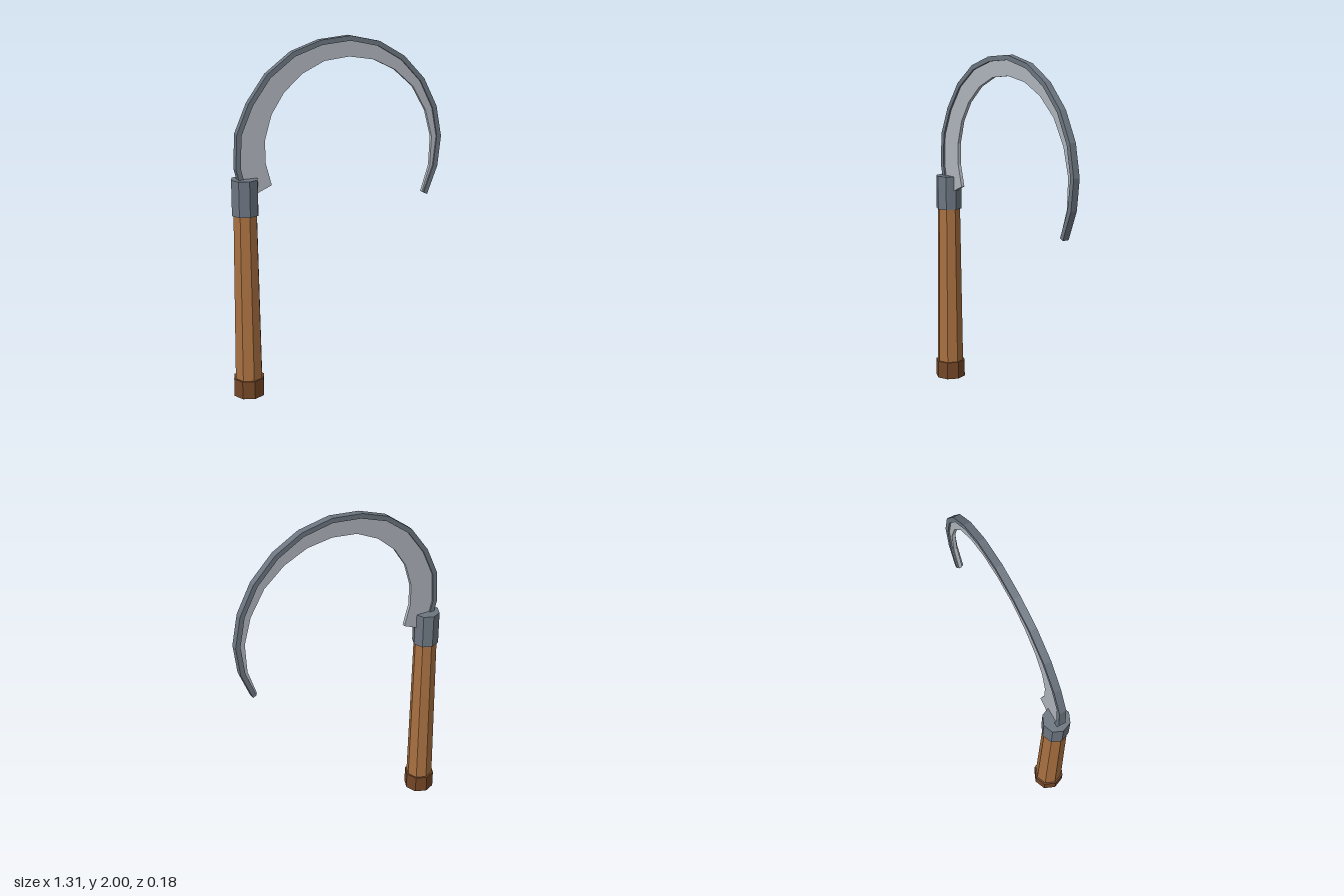
import * as THREE from 'three';

const mat = (name, color) => {
  const m = new THREE.MeshStandardMaterial({ color, flatShading: true });
  m.name = name;
  return m;
};

// Back and cutting edges of the hook, from the handle round to the tip
const OUTER = [[-.575, 1.14], [-.62, 1.32], [-.61, 1.51], [-.54, 1.67], [-.43, 1.82],
  [-.28, 1.93], [-.115, 1.985], [.065, 2], [.245, 1.96], [.4, 1.87], [.53, 1.735],
  [.615, 1.57], [.65, 1.39], [.63, 1.215], [.565, 1.05]].map(p => new THREE.Vector2(...p));
const INNER = [[-.41, 1.21], [-.445, 1.34], [-.445, 1.465], [-.405, 1.6], [-.33, 1.715],
  [-.22, 1.81], [-.09, 1.87], [.06, 1.885], [.21, 1.86], [.345, 1.795], [.465, 1.69],
  [.55, 1.545], [.592, 1.39], [.585, 1.22], [.535, 1.065]].map(p => new THREE.Vector2(...p));

// Flat curved strip between two edges, centred on z = 0
function strip(outer, inner, depth) {
  const shape = new THREE.Shape([...outer, ...[...inner].reverse()]);
  const geo = new THREE.ExtrudeGeometry(shape, { depth, bevelEnabled: false });
  return geo.translate(0, 0, -depth / 2);
}

export function createModel() {
  const group = new THREE.Group();
  const wood = mat('wood', 0xa87040);
  const darkWood = mat('dark wood', 0x734626);
  const iron = mat('dark iron', 0x6c7580);
  const steel = mat('steel', 0xb0b5bd);

  const add = (name, geo, material) => {
    const mesh = new THREE.Mesh(geo, material);
    mesh.name = name;
    group.add(mesh);
  };
  // Eight-sided upright section on the handle axis
  const post = (name, rTop, rBottom, y0, y1, material) => {
    const geo = new THREE.CylinderGeometry(rTop, rBottom, y1 - y0, 8);
    add(name, geo.translate(-.565, (y0 + y1) / 2, 0), material);
  };

  // Handle
  post('pommel', .09, .09, 0, .105, darkWood);
  post('handle', .068, .08, .1, 1.07, wood);
  post('socket', .077, .077, 1.06, 1.26, iron);

  // Thick spine along the back, thin blade inside it
  const spineInner = OUTER.map((p, i) => {
    const width = p.distanceTo(INNER[i]);
    return p.clone().lerp(INNER[i], Math.min(.028, width * .75) / width);
  });
  add('spine', strip(OUTER, spineInner, .04), iron);
  add('blade', strip(spineInner, INNER, .02), steel);
  return group;
}
